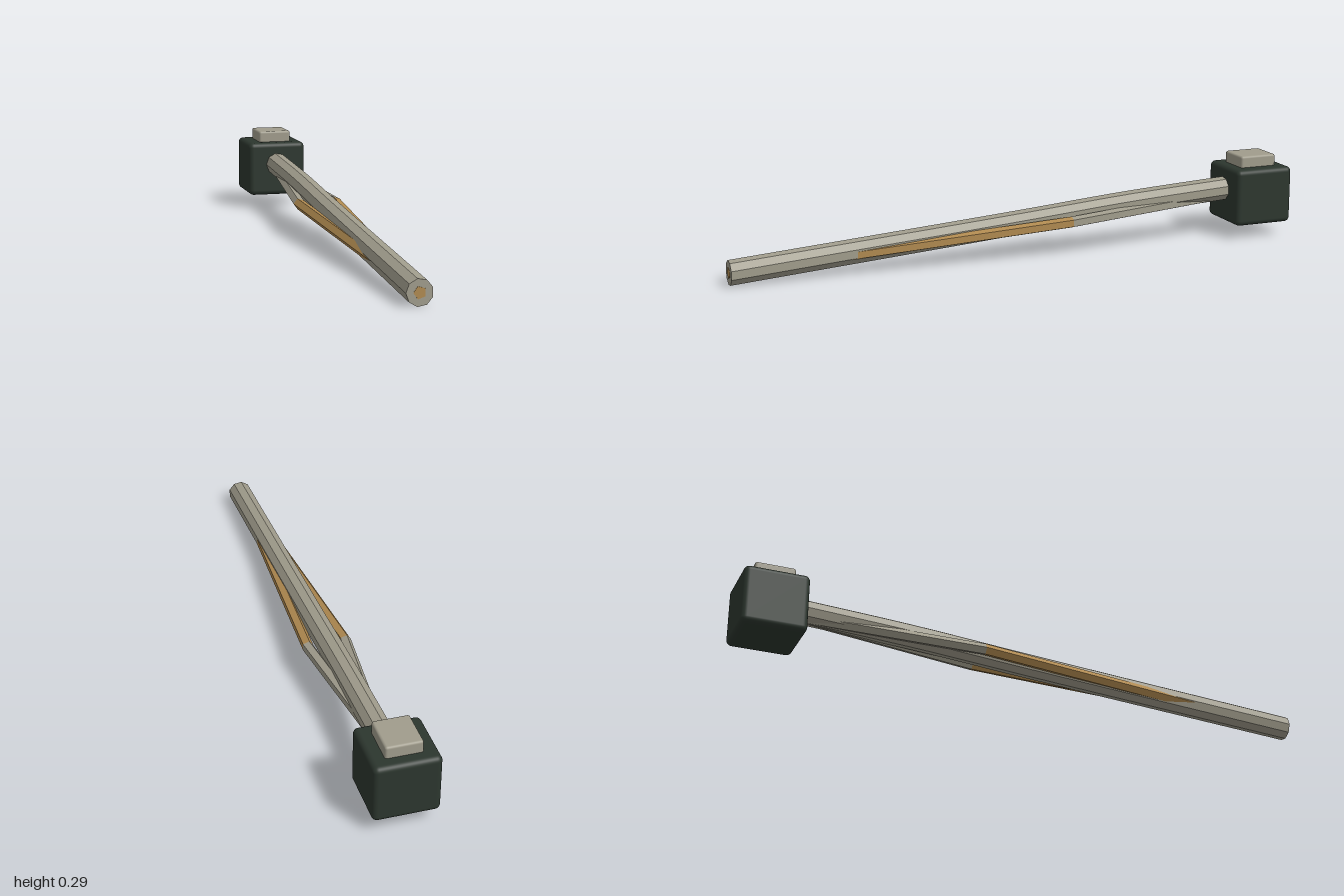
import * as THREE from 'three';
import { RoundedBoxGeometry } from 'three/addons/geometries/RoundedBoxGeometry.js';

// Closed faceted rod: rings of n corners around the given centre points, ordered from +z to -z
function rodGeometry(points, radius, n) {
  const pos = [], index = [];
  for (const [x, y, z] of points) {
    for (let i = 0; i < n; i++) {
      const a = Math.PI + (i / n) * Math.PI * 2;
      pos.push(x + radius * Math.cos(a), y + radius * Math.sin(a), z);
    }
  }
  const last = points.length - 1;
  for (let r = 0; r < last; r++) {
    for (let i = 0; i < n; i++) {
      const a = r * n + i, b = r * n + ((i + 1) % n);
      index.push(a, a + n, b, b, a + n, b + n);
    }
  }
  // end caps
  for (let i = 1; i < n - 1; i++) {
    index.push(0, i, i + 1);
    index.push(last * n, last * n + i + 1, last * n + i);
  }
  const g = new THREE.BufferGeometry();
  g.setAttribute('position', new THREE.Float32BufferAttribute(pos, 3));
  g.setIndex(index);
  const flat = g.toNonIndexed();
  flat.computeVertexNormals();
  return flat;
}

export function createModel() {
  const material = (name, color) => {
    const m = new THREE.MeshStandardMaterial({ color });
    m.name = name;
    return m;
  };
  const grey = material('warm grey', 0xa09c8c);
  const tan = material('tan', 0xb08a50);
  const dark = material('dark green', 0x2c362e);

  const model = new THREE.Group();
  const add = (name, geometry, mat) => {
    const mesh = new THREE.Mesh(geometry, mat);
    mesh.name = name;
    model.add(mesh);
    return mesh;
  };

  // block at the back with a button on top
  add('headBlock', new RoundedBoxGeometry(0.215, 0.2, 0.216, 4, 0.018), dark)
    .position.set(0, 0.15, -0.892);
  add('topButton', new RoundedBoxGeometry(0.12, 0.05, 0.135, 3, 0.008), grey)
    .position.set(0, 0.265, -0.89);

  // long, slightly bent main shaft
  const curve = new THREE.CatmullRomCurve3([
    new THREE.Vector3(0, 0.043, 0.999),
    new THREE.Vector3(0, 0.114, 0.02),
    new THREE.Vector3(0, 0.147, -0.4),
    new THREE.Vector3(0, 0.169, -0.8),
  ]);
  const shaftPoints = curve.getPoints(16).map((p) => p.toArray());
  add('shaft', rodGeometry(shaftPoints, 0.042, 9), grey);

  // side braces: tan front half, grey rear half, meeting at an elbow
  for (const [side, s] of [['left', 1], ['right', -1]]) {
    const elbow = [s * 0.065, 0.115, -0.17];
    add(side + 'FrontBrace', rodGeometry([[0, 0.043, 1], elbow], 0.02, 5), tan);
    add(side + 'RearBrace', rodGeometry([elbow, [0, 0.147, -0.8]], 0.02, 5), grey);
  }
  return model;
}
